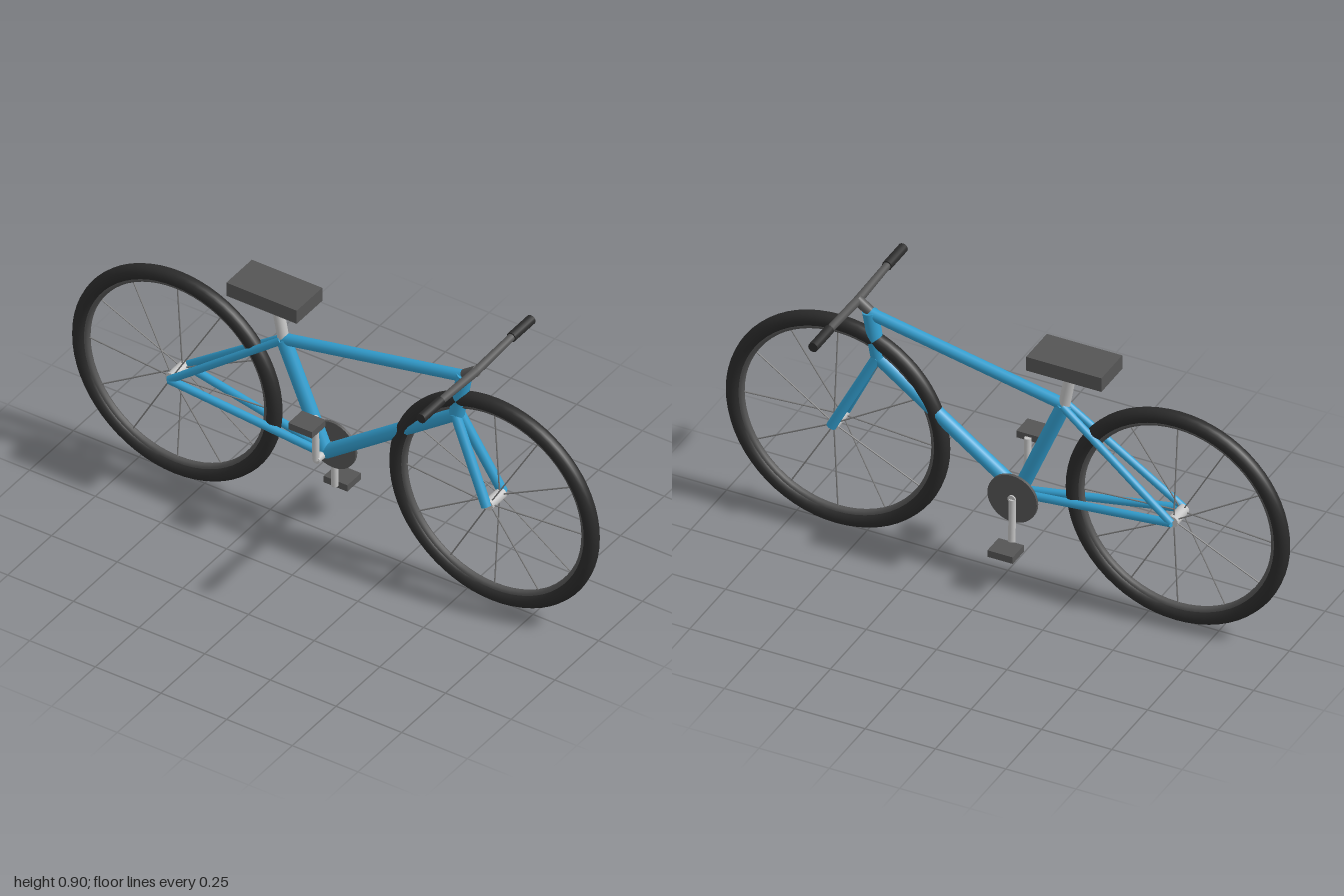
import * as THREE from 'three';

const mat = (name, color) => new THREE.MeshStandardMaterial({ name, color });

export function createModel() {
  const blue = mat('frameBlue', 0x339fd0);
  const black = mat('rubberBlack', 0x2b2b2b);
  const gray = mat('darkGray', 0x555555);
  const silver = mat('silver', 0xc4c4c4);
  const steel = mat('spokeSteel', 0x808080);

  const model = new THREE.Group();
  model.name = 'bicycle';

  const add = (name, geometry, material, pos = [0, 0, 0], parent = model) => {
    const mesh = new THREE.Mesh(geometry, material);
    mesh.name = name;
    mesh.position.set(...pos);
    parent.add(mesh);
    return mesh;
  };

  // Straight tube between two points, optionally tapered
  const tube = (name, a, b, r, material, parent = model, rEnd = r, sides = 16) => {
    const p = new THREE.Vector3(...a);
    const q = new THREE.Vector3(...b);
    const dir = q.clone().sub(p);
    const mesh = add(name, new THREE.CylinderGeometry(rEnd, r, dir.length(), sides), material, [0, 0, 0], parent);
    mesh.position.copy(p).add(q).multiplyScalar(0.5);
    mesh.quaternion.setFromUnitVectors(new THREE.Vector3(0, 1, 0), dir.normalize());
    return mesh;
  };

  // Wheels: tire, rim, hub and spokes laced alternately to each hub side
  const axleX = 0.604, axleY = 0.399;
  for (const [name, x] of [['rearWheel', -axleX], ['frontWheel', axleX]]) {
    const wheel = new THREE.Group();
    wheel.name = name;
    wheel.position.set(x, axleY, 0);
    model.add(wheel);
    add('tire', new THREE.TorusGeometry(0.37, 0.026, 16, 64), black, [0, 0, 0], wheel);
    add('rim', new THREE.TorusGeometry(0.346, 0.013, 10, 64), gray, [0, 0, 0], wheel);
    tube('hub', [0, 0, -0.04], [0, 0, 0.04], 0.02, silver, wheel);
    for (let i = 0; i < 12; i++) {
      const c = Math.cos(i * Math.PI / 6), s = Math.sin(i * Math.PI / 6);
      const z = i % 2 ? -0.028 : 0.028;
      tube('spoke', [0.015 * c, 0.015 * s, z], [0.342 * c, 0.342 * s, 0], 0.0025, steel, wheel, 0.0025, 6);
    }
  }

  // Frame
  const crank = [-0.04, 0.32, 0];
  const seatJoint = [-0.2, 0.7, 0];
  const headTop = [0.49, 0.845, 0];
  const headLow = [0.46, 0.68, 0];
  tube('topTube', seatJoint, [0.488, 0.838, 0], 0.02, blue);
  tube('downTube', crank, headLow, 0.024, blue);
  tube('seatTube', crank, seatJoint, 0.025, blue);
  tube('headTube', headLow, headTop, 0.026, blue);
  for (const side of [-1, 1]) {
    tube('seatStay', [-0.2, 0.7, 0.012 * side], [-axleX, axleY, 0.047 * side], 0.013, blue);
    tube('chainStay', [-0.04, 0.32, 0.012 * side], [-axleX, axleY, 0.047 * side], 0.014, blue);
    tube('forkBlade', [0.46, 0.685, 0.01 * side], [axleX, axleY, 0.047 * side], 0.017, blue);
  }

  // Saddle on its post
  tube('seatPost', seatJoint, [-0.23, 0.86, 0], 0.019, silver);
  add('seat', new THREE.BoxGeometry(0.268, 0.052, 0.146), gray, [-0.235, 0.871, 0]);

  // Stem, handlebar and grips
  tube('stem', headTop, [0.535, 0.877, 0], 0.018, gray);
  for (const side of [-1, 1]) {
    tube('handlebar', [0.533, 0.875, 0], [0.533, 0.884, 0.21 * side], 0.015, gray, model, 0.013);
    tube('grip', [0.533, 0.884, 0.202 * side], [0.533, 0.884, 0.315 * side], 0.017, black);
  }

  // Drivetrain: chainring, axle, opposed crank arms and pedals
  tube('chainring', [-0.04, 0.32, -0.05], [-0.04, 0.32, -0.04], 0.088, gray, model, 0.088, 32);
  tube('crankAxle', [-0.04, 0.32, -0.055], [-0.04, 0.32, 0.055], 0.014, silver);
  for (const side of [-1, 1]) {
    tube('crankArm', [-0.042, 0.32, 0.051 * side], [-0.042, 0.32 + 0.17 * side, 0.057 * side], 0.012, silver);
    add('pedal', new THREE.BoxGeometry(0.09, 0.025, 0.078), gray, [-0.043, 0.32 + 0.168 * side, 0.101 * side]);
  }

  return model;
}
